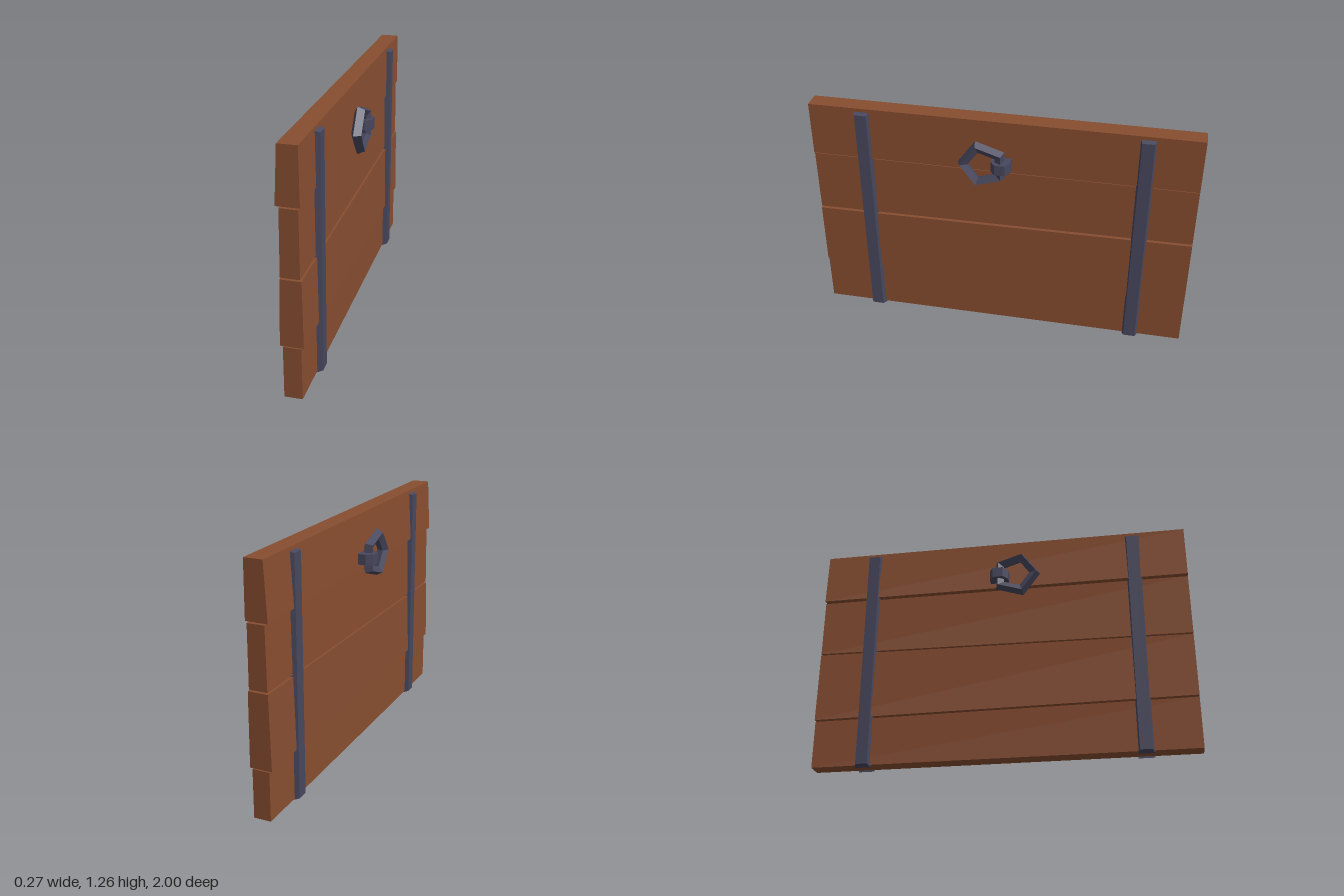
import * as THREE from 'three';

const wood = new THREE.MeshStandardMaterial({ color: 0x874d30, flatShading: true });
const iron = new THREE.MeshStandardMaterial({ color: 0x47475e, flatShading: true });

// Unit box whose corners are moved by a rule; the rule gets the corner signs
function shapedBox(rule) {
  const g = new THREE.BoxGeometry(2, 2, 2);
  const p = g.attributes.position;
  for (let i = 0; i < p.count; i++) p.setXYZ(i, ...rule(p.getX(i), p.getY(i), p.getZ(i)));
  g.computeVertexNormals();
  return g;
}

// Planks: bottom and top heights as [front, back], x limits as [min, max]
const planks = [
  { bottom: [0.01, 0.01], top: [0.279, 0.263], low: [-0.043, 0.046], high: [-0.043, 0.045] },
  { bottom: [0.284, 0.268], top: [0.625, 0.647], low: [-0.057, 0.057], high: [-0.049, 0.053] },
  { bottom: [0.634, 0.656], top: [0.968, 0.968], low: [-0.047, 0.047], high: [-0.043, 0.045] },
  { bottom: [0.976, 0.976], top: [1.26, 1.26], low: [-0.06, 0.053], high: [-0.045, 0.05] },
];

export function createModel() {
  const model = new THREE.Group();
  const add = (name, geometry, material, parent = model) => {
    const mesh = new THREE.Mesh(geometry, material);
    mesh.name = name;
    parent.add(mesh);
    return mesh;
  };

  planks.forEach((k, i) => add(`plank${i + 1}`, shapedBox((x, y, z) => [
    (y > 0 ? k.high : k.low)[x > 0 ? 1 : 0],
    (y > 0 ? k.top : k.bottom)[z > 0 ? 0 : 1],
    z,
  ]), wood));

  for (const side of [1, -1]) {
    const label = side > 0 ? 'left' : 'right';

    // Iron straps with bevelled outer faces
    for (const zc of [0.72, -0.727]) {
      add(`${label}Strap`, shapedBox((x, y, z) => {
        const outer = x * side > 0;
        return [
          side * (outer ? 0.07 : 0.037) + 0.004,
          0.622 + y * (outer ? 0.611 : 0.622),
          zc + z * (outer ? 0.031 : 0.042),
        ];
      }), iron);
    }

    const handle = new THREE.Group();
    handle.name = `${label}Handle`;
    handle.position.y = 1.033;
    model.add(handle);

    // Five-sided ring with a tilted square section
    const section = [70, 160, 250, 340, 430].map((deg) => {
      const a = THREE.MathUtils.degToRad(deg);
      return new THREE.Vector2(0.105 + 0.03 * Math.cos(a), 0.03 * Math.sin(a));
    });
    const ring = add('ring', new THREE.LatheGeometry(section, 5), iron, handle);
    ring.rotation.z = -side * Math.PI / 2;
    ring.position.set(side * 0.093, 0, 0.083);

    // Staple holding the ring, drawn as z across and x outward
    const outline = [[0.043, 0.03], [0.043, 0.1], [0.018, 0.135], [-0.036, 0.135], [-0.057, 0.1], [-0.057, 0.03]];
    const staple = new THREE.ExtrudeGeometry(
      new THREE.Shape(outline.map(([z, x]) => new THREE.Vector2(z, x))),
      { depth: 0.056, bevelEnabled: false },
    ).translate(0, 0, -0.028);
    staple.applyMatrix4(new THREE.Matrix4().makeBasis(
      new THREE.Vector3(0, 0, 1), new THREE.Vector3(side, 0, 0), new THREE.Vector3(0, side, 0),
    ));
    add('staple', staple, iron, handle);
  }
  return model;
}
